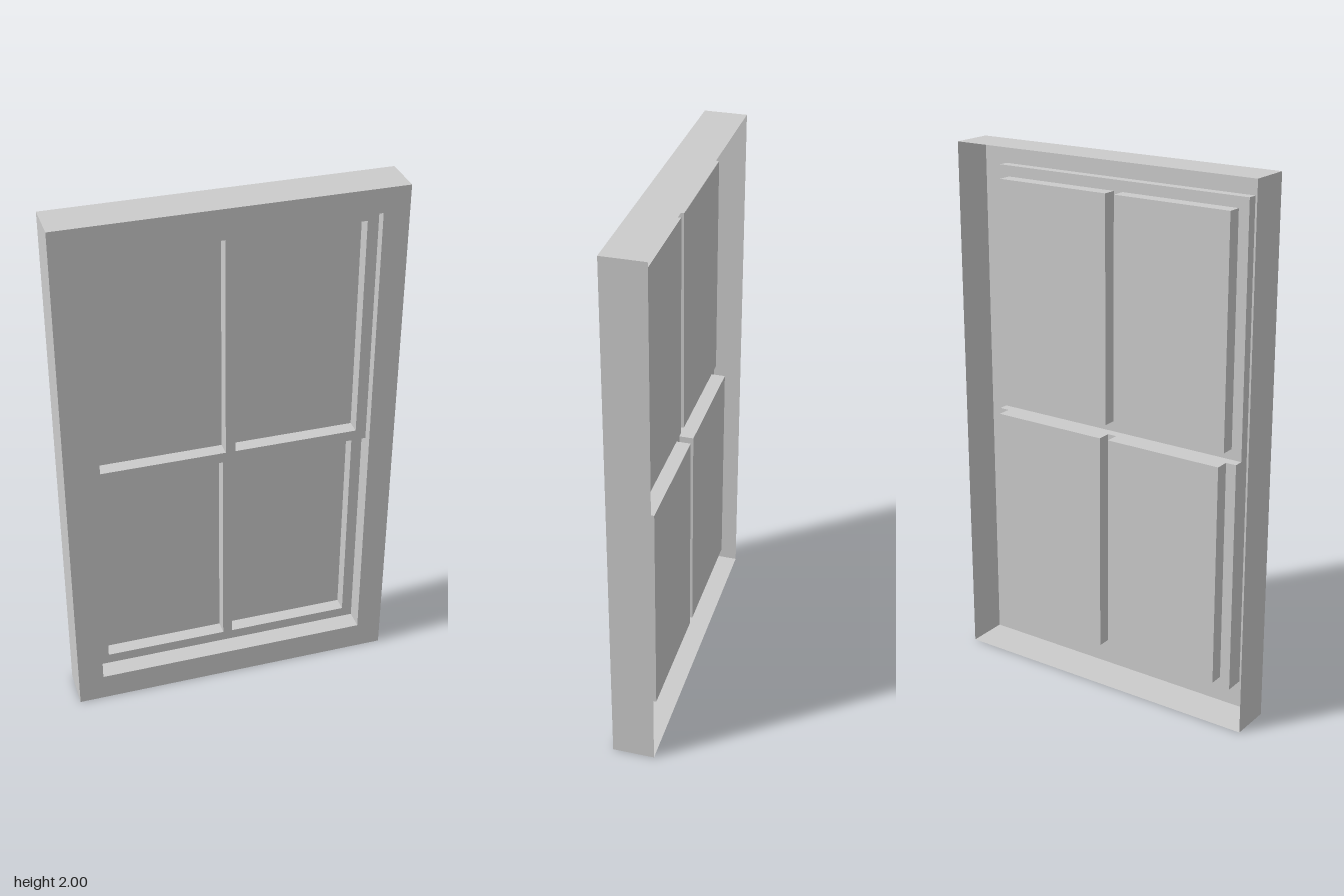
import * as THREE from 'three';

// Double-hung window: an open-backed shell whose front steps back into two sashes.
const W = 0.615, H = 2, D = 0.078;              // half width, height, half depth
const OPEN = { x: 0.52, bottom: 0.105, top: 1.91 };
const MEET = 0.985;                             // underside of the upper sash
const STILE = 0.04, BAR = 0.018;                // sash border, half glazing bar
const PANE_DEPTH = 0.053;
const Z_UPPER = D - 0.037, Z_LOWER = D - 0.073;

const material = new THREE.MeshStandardMaterial({
  color: 0xcccccc, side: THREE.DoubleSide, flatShading: true,
});

function add(parent, name, geometry, x = 0, y = 0, z = 0) {
  const mesh = new THREE.Mesh(geometry, material);
  mesh.name = name;
  mesh.position.set(x, y, z);
  parent.add(mesh);
  return mesh;
}

// Rectangle [x0, x1, y0, y1] as a closed path
function trace(path, [x0, x1, y0, y1]) {
  path.moveTo(x0, y0);
  path.lineTo(x1, y0);
  path.lineTo(x1, y1);
  path.lineTo(x0, y1);
  path.closePath();
  return path;
}

// Flat sheet facing +z with rectangular holes
function sheet(parent, name, rect, holes, z) {
  const shape = trace(new THREE.Shape(), rect);
  shape.holes = holes.map((h) => trace(new THREE.Path(), h));
  return add(parent, name, new THREE.ShapeGeometry(shape), 0, 0, z);
}

// Walls running in depth along the chosen edges of a rectangle
function walls(parent, name, [x0, x1, y0, y1], zFront, zBack, edges) {
  const depth = zFront - zBack, z = (zFront + zBack) / 2;
  const cx = (x0 + x1) / 2, cy = (y0 + y1) / 2;
  for (const edge of edges) {
    if (edge === 'left' || edge === 'right') {
      const g = new THREE.PlaneGeometry(depth, y1 - y0);
      g.rotateY(edge === 'left' ? -Math.PI / 2 : Math.PI / 2);
      add(parent, name, g, edge === 'left' ? x1 : x0, cy, z);
    } else {
      const g = new THREE.PlaneGeometry(x1 - x0, depth);
      g.rotateX(edge === 'top' ? Math.PI / 2 : -Math.PI / 2);
      add(parent, name, g, cx, edge === 'top' ? y1 : y0, z);
    }
  }
}

const ALL = ['left', 'right', 'top', 'bottom'];

// Sash sheet with two panes set back behind it
function sash(name, y0, y1, paneBottom, paneTop, z) {
  const group = new THREE.Group();
  group.name = name;
  const inner = OPEN.x - STILE;
  const panes = [
    [-inner, -BAR, paneBottom, paneTop],
    [BAR, inner, paneBottom, paneTop],
  ];
  if (paneTop < y1) {
    sheet(group, 'sashFrame', [-OPEN.x, OPEN.x, y0, y1], panes, z);
  } else {
    // panes reach the top edge, so the frame is a rail with three uprights
    sheet(group, 'bottomRail', [-OPEN.x, OPEN.x, y0, paneBottom], [], z);
    for (const [a, b] of [[-OPEN.x, -inner], [-BAR, BAR], [inner, OPEN.x]]) {
      sheet(group, 'sashUpright', [a, b, paneBottom, y1], [], z);
    }
  }
  for (const pane of panes) {
    walls(group, 'paneReveal', pane, z, z - PANE_DEPTH, ALL);
    sheet(group, 'pane', pane, [], z - PANE_DEPTH);
  }
  return group;
}

export function createModel() {
  const model = new THREE.Group();
  model.name = 'window';

  // Outer casing, open at the back
  const casing = new THREE.Group();
  casing.name = 'casing';
  const outer = [-W, W, 0, H];
  const upper = [-OPEN.x, OPEN.x, MEET, OPEN.top];
  const lower = [-OPEN.x, OPEN.x, OPEN.bottom, MEET];
  sheet(casing, 'casingFront', outer, [[-OPEN.x, OPEN.x, OPEN.bottom, OPEN.top]], D);
  walls(casing, 'casingSide', outer, D, -D, ALL);

  // Stepped reveals of the opening
  walls(casing, 'upperReveal', upper, D, Z_UPPER, ['left', 'right', 'top']);
  walls(casing, 'lowerReveal', lower, D, Z_LOWER, ['left', 'right', 'bottom']);
  walls(casing, 'meetingLedge', lower, Z_UPPER, Z_LOWER, ['top']);
  model.add(casing);

  // Sashes
  model.add(sash('upperSash', MEET, OPEN.top, MEET + STILE, OPEN.top - STILE, Z_UPPER));
  model.add(sash('lowerSash', OPEN.bottom, MEET, OPEN.bottom + STILE, MEET, Z_LOWER));
  return model;
}
